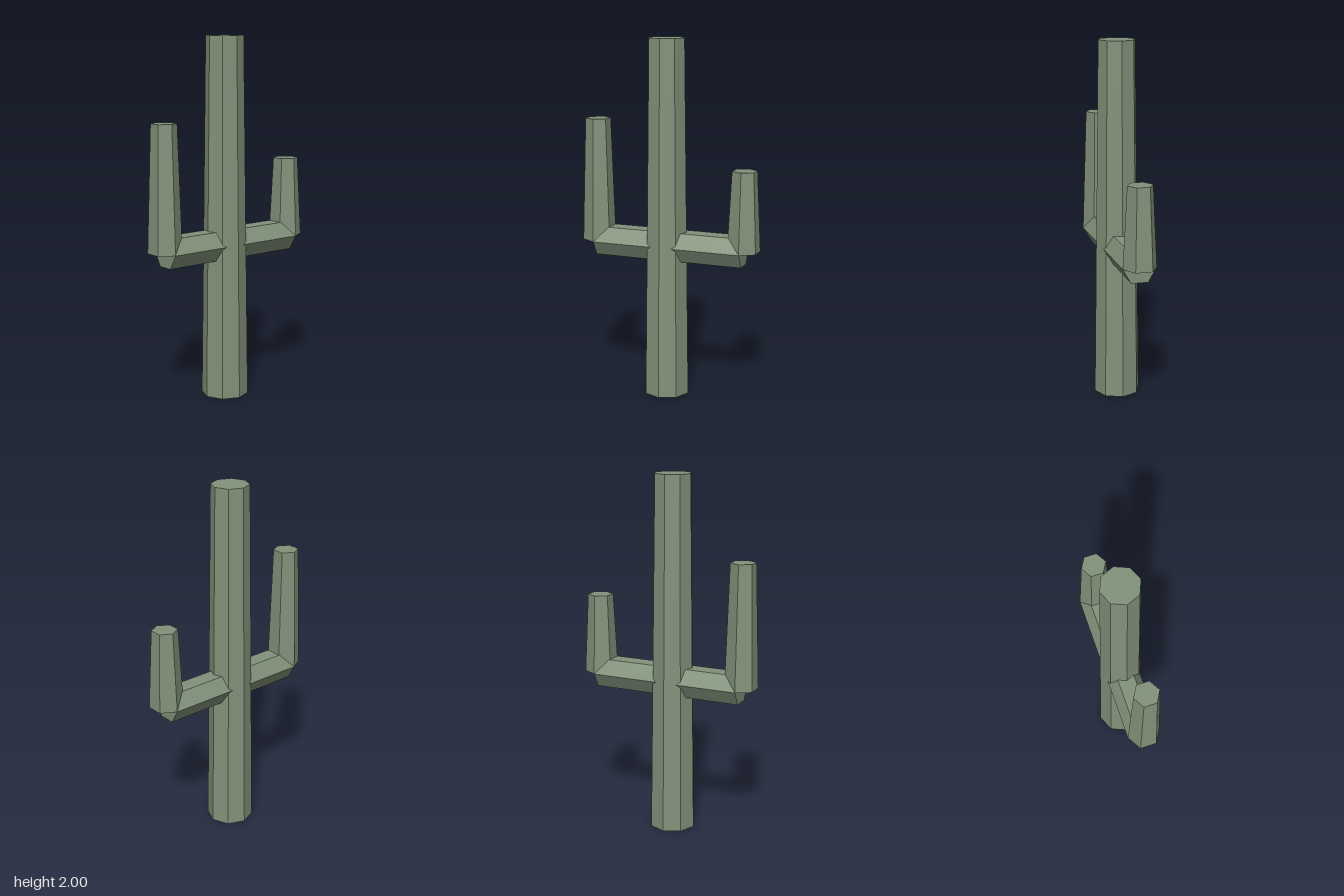
import * as THREE from 'three';

export function createModel() {
  const model = new THREE.Group();
  model.name = 'cactus';
  const green = new THREE.MeshStandardMaterial({ color: 0x82927a, flatShading: true });
  const trunkX = -0.02;

  // Upright tapered prism standing at height y
  const prism = (name, rTop, rBottom, height, sides, x, y) => {
    const mesh = new THREE.Mesh(new THREE.CylinderGeometry(rTop, rBottom, height, sides), green);
    mesh.name = name;
    mesh.position.set(x, y + height / 2, 0);
    return mesh;
  };

  // Eight-sided trunk
  model.add(prism('trunk', 0.103, 0.13, 2, 8, trunkX, 0));

  // Each arm: a level branch from the trunk, then an upright stem
  const elbowY = 0.86;
  for (const [side, elbowX, top] of [['left', 0.428, 1.305], ['right', -0.428, 1.55]]) {
    const arm = new THREE.Group();
    arm.name = side + 'Arm';
    const length = Math.abs(elbowX - trunkX);
    const branch = prism('branch', 0.093, 0.093, length, 6, 0, 0);
    branch.rotation.z = Math.PI / 2;
    branch.position.set((elbowX + trunkX) / 2, elbowY, 0);
    arm.add(branch, prism('stem', 0.07, 0.093, top - elbowY, 6, elbowX, elbowY));
    model.add(arm);
  }
  return model;
}
